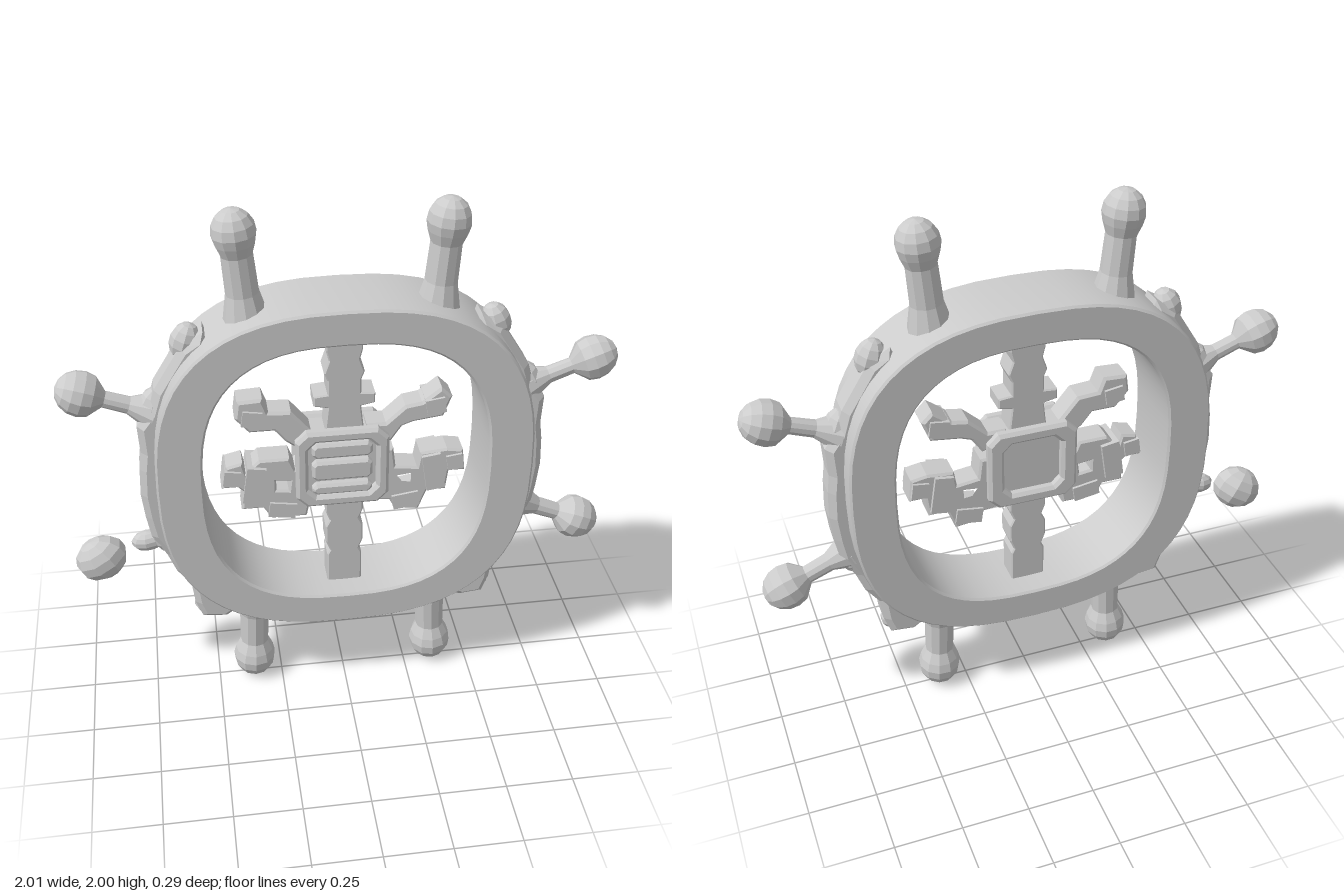
import * as THREE from 'three';
import { toCreasedNormals } from 'three/addons/utils/BufferGeometryUtils.js';

const CY = 1.01; // height of the wheel centre
const facet = new THREE.MeshStandardMaterial({ color: 0xcccccc, flatShading: true });
const smooth = new THREE.MeshStandardMaterial({ color: 0xcccccc });
const pts = (list) => list.map(([x, y]) => new THREE.Vector2(x, y));
const mirror = (list) => list.map(([x, y]) => [-x, y]);

// Rounded-square outline
function squircle(rx, ry, n, count = 56) {
  const list = [];
  for (let i = 0; i < count; i++) {
    const a = (i / count) * Math.PI * 2, c = Math.cos(a), s = Math.sin(a);
    const p = 2 / n;
    list.push([rx * Math.sign(c) * Math.abs(c) ** p, CY + ry * Math.sign(s) * Math.abs(s) ** p]);
  }
  return list;
}

// Plate between z0 and z1 with softened edges; the bevel stays inside the outline
function plate(outline, z0, z1, bevel = 0.01, holes = []) {
  const shape = new THREE.Shape(pts(outline));
  shape.holes = holes.map((h) => new THREE.Path(pts(h)));
  const geo = new THREE.ExtrudeGeometry(shape, {
    depth: z1 - z0 - 2 * bevel, bevelEnabled: true, bevelSegments: 1,
    bevelThickness: bevel, bevelSize: bevel, bevelOffset: -bevel,
  });
  return geo.translate(0, 0, z0 + bevel);
}

export function createModel() {
  const wheel = new THREE.Group();
  wheel.name = 'shipWheel';
  const add = (name, geo, mat = facet, parent = wheel) => {
    const mesh = new THREE.Mesh(geo, mat);
    mesh.name = name;
    parent.add(mesh);
    return mesh;
  };
  const blob = (name, x, y, rx, ry, rz, turn = 0) => {
    const mesh = add(name, new THREE.SphereGeometry(1, 9, 7));
    mesh.position.set(x, y, 0);
    mesh.scale.set(rx, ry, rz);
    mesh.rotation.z = turn;
  };

  // Broad rim
  const rim = plate(squircle(0.68, 0.665, 2.6), -0.145, 0.145, 0.008, [squircle(0.515, 0.535, 2.7)]);
  add('rim', toCreasedNormals(rim, 0.6), smooth);

  // Lumpy raised band around each side of the rim
  const band = [[0.45, 1.5], [0.48, 1.58], [0.56, 1.53], [0.61, 1.45], [0.66, 1.37], [0.685, 1.29],
    [0.73, 1.23], [0.725, 1.12], [0.735, 1.05], [0.74, 0.94], [0.73, 0.84], [0.715, 0.75],
    [0.665, 0.66], [0.635, 0.58], [0.585, 0.51], [0.575, 0.42], [0.55, 0.35], [0.46, 0.34],
    [0.41, 0.375], [0.4, 0.45], [0.5, 0.6], [0.6, 0.8], [0.62, 1.01], [0.58, 1.3]];
  for (const [side, outline] of [['left', band], ['right', mirror(band)]]) {
    const s = side === 'left' ? 1 : -1;
    add(side + 'Band', plate(outline, -0.065, 0.065, 0.025));
    blob(side + 'UpperKnob', s * 0.54, 1.53, 0.055, 0.07, 0.055, s * 0.3);
    blob(side + 'LowerKnob', s * 0.52, 0.385, 0.06, 0.045, 0.05);
    blob(side + 'UpperBulge', s * 0.67, 1.27, 0.06, 0.09, 0.06, s * 0.3);
    blob(side + 'LowerBulge', s * 0.66, 0.73, 0.06, 0.08, 0.06, s * -0.3);
  }

  // Turned handle from its root to the far end of its ball
  function handle(name, root, tip, ball, neck, foot) {
    const dir = new THREE.Vector3(tip[0] - root[0], tip[1] - root[1], 0);
    const len = dir.length(), half = ball * 1.1;
    const profile = [[0, 0], [foot, 0], [neck * 1.05, len * 0.25], [neck, len - half * 1.9]];
    for (let i = 1; i <= 6; i++) {
      const a = -0.85 + (i / 6) * (Math.PI / 2 + 0.85);
      profile.push([Math.max(0, ball * Math.cos(a)), len - half + half * Math.sin(a)]);
    }
    const mesh = add(name, new THREE.LatheGeometry(pts(profile), 11));
    mesh.position.set(root[0], root[1], 0);
    mesh.quaternion.setFromUnitVectors(new THREE.Vector3(0, 1, 0), dir.normalize());
  }
  for (const [side, s] of [['left', 1], ['right', -1]]) {
    handle(side + 'TopHandle', [s * 0.33, 1.6], [s * 0.365, 2.0], 0.077, 0.055, 0.08);
    handle(side + 'BottomHandle', [s * 0.345, 0.42], [s * 0.36, 0.005], 0.082, 0.055, 0.085);
    handle(side + 'UpperSideHandle', [s * 0.67, 1.265], [s * 0.995, 1.385], 0.082, 0.03, 0.07);
  }
  handle('leftLowerSideHandle', [0.67, 0.75], [0.995, 0.61], 0.084, 0.033, 0.07);
  // The opposite handle has lost its neck
  blob('rightLowerBall', -0.91, 0.64, 0.1, 0.084, 0.08, 0.5);
  blob('rightBrokenStub', -0.73, 0.705, 0.065, 0.04, 0.04, 0.15);

  // Notched central post
  const post = [[0.065, 0.46], [0.065, 0.6], [0.055, 0.62], [0.07, 0.66], [0.07, 0.73], [0.055, 0.76],
    [0.07, 0.8], [0.07, 1.16], [0.06, 1.25], [0.11, 1.26], [0.11, 1.3], [0.06, 1.305],
    [0.06, 1.36], [0.072, 1.39], [0.055, 1.44], [0.065, 1.48], [0.065, 1.55]];
  add('post', plate([...post, ...mirror(post).reverse()], -0.05, 0.05, 0.005));

  // Ragged arms beside the hub
  const z = 0.05;
  add('leftUpperArm', plate([[0.08, 1.12], [0.17, 1.09], [0.21, 1.15], [0.25, 1.165], [0.36, 1.18],
    [0.39, 1.26], [0.35, 1.3], [0.28, 1.245], [0.22, 1.235], [0.15, 1.17], [0.08, 1.17]], -z, z));
  add('rightUpperArm', plate([[-0.08, 1.12], [-0.17, 1.09], [-0.21, 1.12], [-0.25, 1.17], [-0.34, 1.17],
    [-0.39, 1.23], [-0.38, 1.3], [-0.29, 1.305], [-0.27, 1.25], [-0.19, 1.245], [-0.12, 1.16]], -z, z));
  add('leftLowerArm', plate([[0.08, 1.06], [0.18, 1.06], [0.19, 0.98], [0.27, 0.97], [0.28, 1.03],
    [0.38, 1.04], [0.44, 1.03], [0.45, 0.94], [0.39, 0.94], [0.38, 0.86], [0.31, 0.86], [0.28, 0.78],
    [0.19, 0.79], [0.17, 0.83], [0.08, 0.84]], -z, z, 0.008, [[[0.185, 0.945], [0.255, 0.955], [0.255, 0.9], [0.21, 0.905]]]));
  add('rightLowerArm', plate([[-0.08, 1.06], [-0.18, 1.0], [-0.2, 1.05], [-0.31, 1.05], [-0.36, 1.0],
    [-0.37, 1.045], [-0.43, 1.03], [-0.45, 0.94], [-0.39, 0.94], [-0.37, 0.92], [-0.38, 0.84], [-0.3, 0.84],
    [-0.27, 0.79], [-0.14, 0.79], [-0.13, 0.84], [-0.08, 0.85]], -z, z, 0.008,
  [[[-0.25, 0.955], [-0.2, 0.95], [-0.205, 0.91], [-0.25, 0.915]]]));
  // Raised lumps on both faces of the lower arms
  for (const s of [1, -1]) {
    for (const [x, y, w, h, d] of [[0.33, 0.95, 0.07, 0.15, 0.13], [0.23, 0.83, 0.1, 0.06, 0.12],
      [0.41, 0.985, 0.06, 0.06, 0.12], [0.33, 1.23, 0.07, 0.06, 0.12]]) {
      const lump = add('armLump', new THREE.BoxGeometry(w, h, d));
      lump.position.set(s * x, y, 0);
      lump.rotation.z = s * 0.15;
    }
  }

  // Hub block with a rounded frame on each face
  const block = (x, y, w, h, c) => [[x - w, y - h + c], [x - w + c, y - h], [x + w - c, y - h],
    [x + w, y - h + c], [x + w, y + h - c], [x + w - c, y + h], [x - w + c, y + h], [x - w, y + h - c]];
  const hx = -0.01, hy = 1.01;
  add('hub', plate(block(hx, hy, 0.15, 0.15, 0.03), -0.05, 0.05));
  add('hubFrontFrame', plate(block(hx, hy, 0.17, 0.16, 0.04), 0.04, 0.085, 0.012, [block(hx, hy, 0.125, 0.115, 0.03)]));
  add('hubBackFrame', plate(block(hx, hy, 0.17, 0.16, 0.04), -0.085, -0.04, 0.012, [block(hx, hy, 0.11, 0.11, 0.03)]));
  // Stacked bars inside the front frame
  for (const [y, h] of [[1.085, 0.03], [1.0, 0.04], [0.92, 0.022]]) {
    add('hubBar', plate(block(hx, y, 0.11, h, 0.015), 0.04, 0.08, 0.01));
  }
  return wheel;
}
